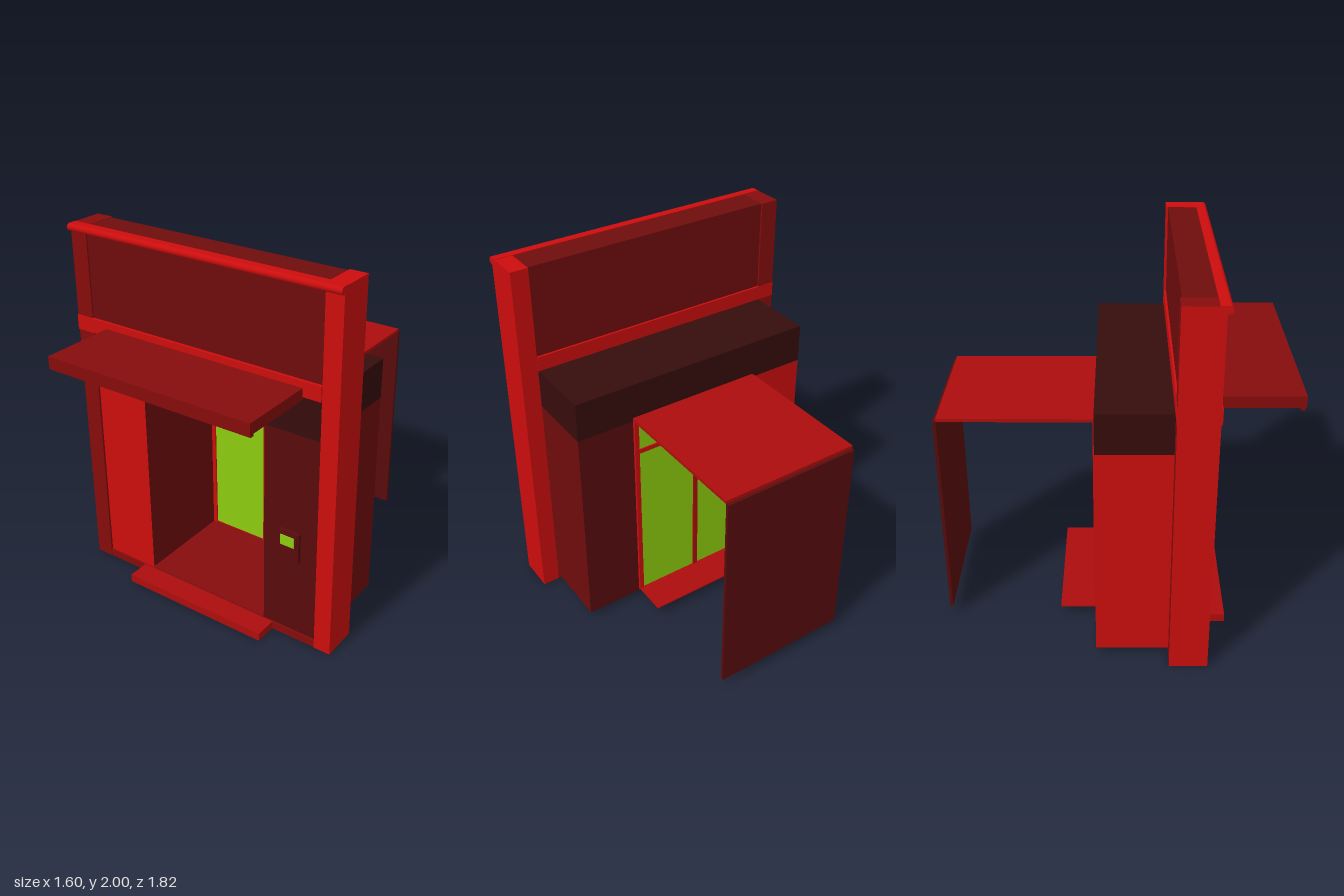
import * as THREE from 'three';

const mat = (name, color) => {
  const m = new THREE.MeshStandardMaterial({ color });
  m.name = name;
  return m;
};

export function createModel() {
  const root = new THREE.Group();
  root.name = 'entrance';

  const bright = mat('bright red', 0xcc0d0d);
  const trim = mat('trim red', 0xae0d0d);
  const mid = mat('mid red', 0x860c0c);
  const panel = mat('panel red', 0x700c0c);
  const deep = mat('deep red', 0x580b0c);
  const fascia = mat('dark maroon', 0x360c0c);
  const glass = mat('lime glass', 0x8ccc0f);

  // Box from its bounds; a list of materials follows +x, -x, +y, -y, +z, -z
  const box = (name, material, [x0, x1], [y0, y1], [z0, z1], parent = root) => {
    const mesh = new THREE.Mesh(new THREE.BoxGeometry(x1 - x0, y1 - y0, z1 - z0), material);
    mesh.position.set((x0 + x1) / 2, (y0 + y1) / 2, (z0 + z1) / 2);
    mesh.name = name;
    parent.add(mesh);
    return mesh;
  };

  // Portal frame
  box('leftPost', bright, [0.7, 0.795], [0, 1.998], [0.29, 0.49]);
  box('rightPost', [mid, bright, mid, mid, mid, mid], [-0.8, -0.7], [0, 1.998], [0.29, 0.49]);
  box('upperPanel', panel, [-0.7, 0.7], [1.49, 1.996], [0.3, 0.48]);
  box('middleRail', bright, [-0.8, 0.7], [1.425, 1.505], [0.288, 0.497]);
  // Cornice with a rounded front edge
  box('cornice', bright, [-0.8, 0.795], [1.96, 2], [0.457, 0.5]);
  const nose = new THREE.Mesh(new THREE.CylinderGeometry(0.02, 0.02, 1.595, 16), bright);
  nose.rotation.z = Math.PI / 2;
  nose.position.set(-0.0025, 1.98, 0.497);
  nose.name = 'corniceNose';
  root.add(nose);

  // Front canopy
  box('canopy', mid, [-0.6, 0.6], [1.41, 1.47], [0.49, 0.91]);
  box('canopyLip', mid, [-0.6, 0.6], [1.398, 1.41], [0.885, 0.905]);

  // Passage: fascia above, side walls, floor, sill and step
  box('fascia', fascia, [-0.698, 0.698], [1.21, 1.425], [-0.09, 0.48]);
  box('leftWall', [panel, deep, deep, deep, deep, deep], [0.38, 0.698], [0.035, 1.21], [-0.09, 0.48]);
  box('rightWall', [panel, bright, bright, bright, bright, bright], [-0.698, -0.38], [0.035, 1.21], [-0.09, 0.48]);
  box('floor', mid, [-0.38, 0.38], [0.035, 0.05], [-0.09, 0.48]);
  box('sill', mid, [-0.7, 0.7], [0, 0.045], [0.29, 0.488]);
  box('step', trim, [-0.44, 0.44], [0, 0.045], [0.488, 0.61]);
  box('passageLight', panel, [-0.2, 0.2], [1.19, 1.21], [0, 0.4]);

  // Glazed doors
  const doors = new THREE.Group();
  doors.name = 'doors';
  root.add(doors);
  const frameZ = [-0.105, -0.085];
  for (const s of [-1, 1]) {
    const span = (a, b) => (s > 0 ? [a, b] : [-b, -a]);
    box('doorJamb', bright, span(0.355, 0.38), [0.05, 1.21], frameZ, doors);
    box('doorGlass', glass, span(0.012, 0.355), [0.055, 1.005], [-0.098, -0.092], doors);
  }
  box('mullion', trim, [-0.014, 0.014], [0.05, 1.005], frameZ, doors);
  box('transom', bright, [-0.355, 0.355], [1.005, 1.03], frameZ, doors);
  box('transomGlass', glass, [-0.355, 0.355], [1.03, 1.21], [-0.098, -0.092], doors);

  // Rear roof, hanging screen and threshold
  box('rearRoof', trim, [-0.38, 0.38], [1.212, 1.23], [-0.89, -0.09]);
  box('rearLight', panel, [-0.2, 0.2], [1.193, 1.212], [-0.73, -0.33]);
  box('rearScreen', deep, [-0.38, 0.38], [0.05, 1.212], [-0.907, -0.89]);
  box('rearThreshold', trim, [-0.38, 0.38], [0.05, 0.057], [-0.29, -0.09]);

  // Call box on the left wall
  const callBox = new THREE.Group();
  callBox.name = 'callBox';
  root.add(callBox);
  box('callBoxBody', deep, [0.48, 0.6], [0.49, 0.66], [0.48, 0.502], callBox);
  box('callBoxHead', deep, [0.49, 0.59], [0.578, 0.65], [0.502, 0.51], callBox);
  box('callBoxScreen', glass, [0.5, 0.58], [0.585, 0.643], [0.51, 0.514], callBox);

  return root;
}
